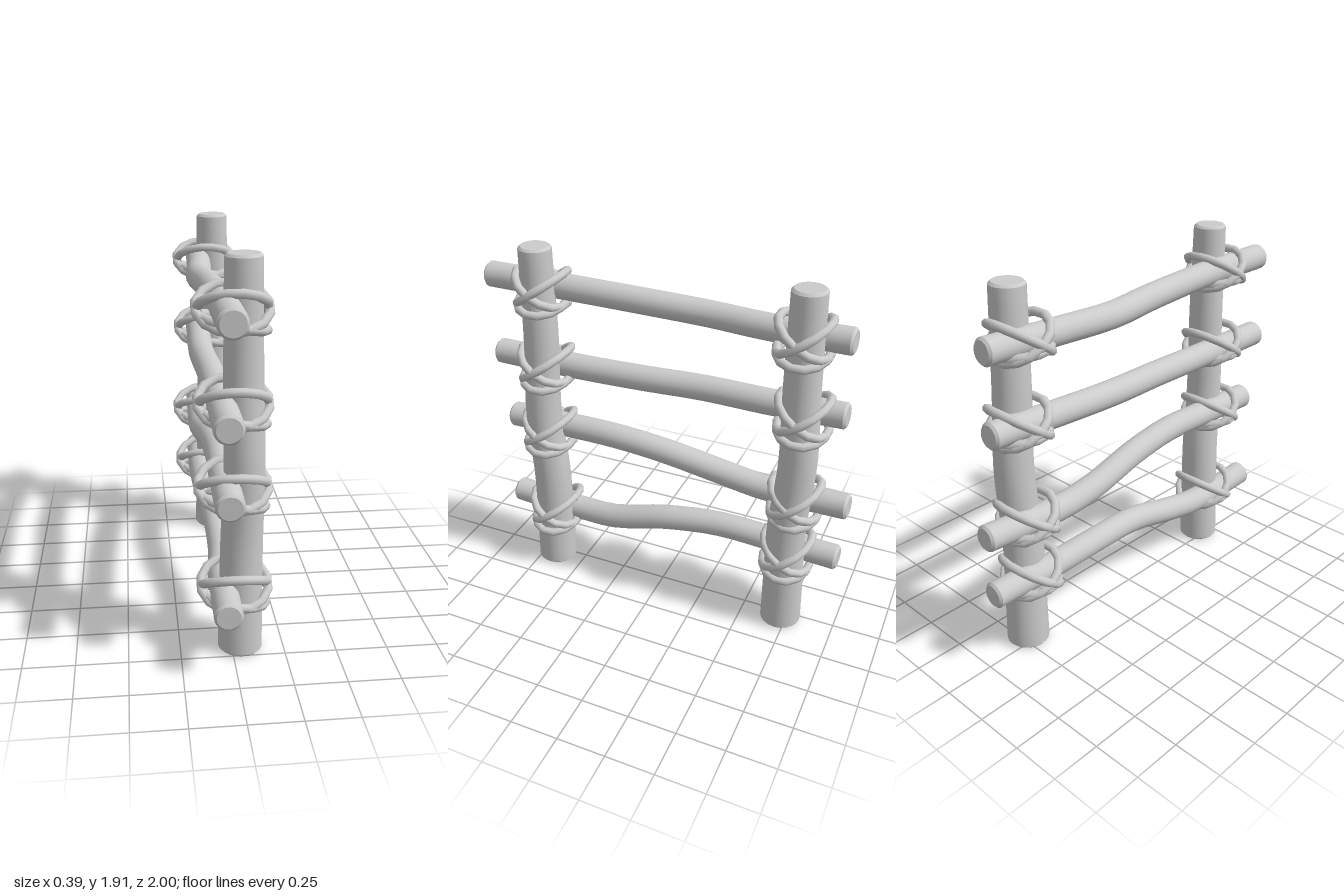
import * as THREE from 'three';
import { toCreasedNormals } from 'three/addons/utils/BufferGeometryUtils.js';

const material = new THREE.MeshStandardMaterial({ color: 0xcccccc });

// Round timber: a lathed pole with softened ends, bent along a curve
function pole(name, points, r0, r1) {
  const curve = new THREE.CatmullRomCurve3(points.map(p => new THREE.Vector3(...p)));
  const length = curve.getLength(), bevel = 0.012, steps = 24;
  const profile = [new THREE.Vector2(0, 0), new THREE.Vector2(r0 - bevel, 0)];
  for (let i = 0; i <= steps; i++) {
    const t = THREE.MathUtils.lerp(bevel / length, 1 - bevel / length, i / steps);
    profile.push(new THREE.Vector2(THREE.MathUtils.lerp(r0, r1, t), t));
  }
  profile.push(new THREE.Vector2(r1 - bevel, 1), new THREE.Vector2(0, 1));
  const geometry = new THREE.LatheGeometry(profile, 20);
  const pos = geometry.attributes.position;
  const u = new THREE.Vector3(), w = new THREE.Vector3();
  for (let i = 0; i < pos.count; i++) {
    const t = THREE.MathUtils.clamp(pos.getY(i), 0, 1);
    const tangent = curve.getTangentAt(t);
    u.set(1, 0, 0).addScaledVector(tangent, -tangent.x).normalize();
    w.crossVectors(u, tangent);
    const p = curve.getPointAt(t).addScaledVector(u, pos.getX(i)).addScaledVector(w, pos.getZ(i));
    pos.setXYZ(i, p.x, p.y, p.z);
  }
  const mesh = new THREE.Mesh(toCreasedNormals(geometry, 0.6), material);
  mesh.name = name;
  return mesh;
}

// One turn of rope: an oval ring whose height slopes along x and z
function ropeTurn(name, rx, rz, height, slopeX, slopeZ, phase) {
  const points = [];
  for (let i = 0; i < 12; i++) {
    const a = (i + phase) / 12 * Math.PI * 2;
    const c = Math.cos(a), s = Math.sin(a);
    points.push(new THREE.Vector3(rx * c, height + slopeX * c + slopeZ * s, rz * s));
  }
  const curve = new THREE.CatmullRomCurve3(points, true);
  const mesh = new THREE.Mesh(new THREE.TubeGeometry(curve, 14, 0.022, 8, true), material);
  mesh.name = name;
  return mesh;
}

// Lashing: two crossed turns and a lower binding turn
function lashing(name, x, y, z) {
  const group = new THREE.Group();
  group.name = name;
  group.add(
    ropeTurn('crossTurnA', 0.157, 0.125, 0.005, 0, 0.083, 0),
    ropeTurn('crossTurnB', 0.163, 0.122, 0.005, 0, -0.083, 0.5),
    ropeTurn('lowerTurn', 0.152, 0.125, -0.062, -0.034, 0.006, 0.25)
  );
  group.position.set(x, y, z);
  return group;
}

export function createModel() {
  const model = new THREE.Group();
  model.name = 'lashedFence';

  // Uprights
  model.add(
    pole('frontPost', [[0.04, 0, 0.665], [0.042, 0.3, 0.66], [0.046, 0.6, 0.658], [0.052, 0.95, 0.68],
      [0.046, 1.4, 0.665], [0.042, 1.91, 0.665]], 0.108, 0.084),
    pole('rearPost', [[0.04, 0, -0.715], [0.042, 0.3, -0.712], [0.045, 0.6, -0.708], [0.045, 1, -0.735],
      [0.04, 1.4, -0.722], [0.035, 1.91, -0.715]], 0.108, 0.084)
  );

  // Rails from front to rear, with the lashing heights at each post
  const rails = [
    { name: 'topRail', ties: [1.675, 1.655], path: [[-0.04, 1.685, 1], [-0.042, 1.68, 0.5], [-0.06, 1.667, 0.1],
      [-0.08, 1.652, -0.2], [-0.055, 1.65, -0.5], [-0.035, 1.66, -0.93]] },
    { name: 'upperRail', ties: [1.25, 1.255], path: [[-0.052, 1.24, 0.99], [-0.05, 1.237, 0.5], [-0.055, 1.243, 0.15],
      [-0.07, 1.25, -0.2], [-0.055, 1.256, -0.55], [-0.045, 1.27, -0.935]] },
    { name: 'lowerRail', ties: [0.855, 0.76], path: [[-0.038, 0.86, 0.93], [-0.035, 0.868, 0.55], [-0.03, 0.87, 0.28],
      [-0.04, 0.84, 0], [-0.06, 0.775, -0.33], [-0.055, 0.748, -0.55], [-0.035, 0.765, -0.995]] },
    { name: 'bottomRail', ties: [0.34, 0.43], path: [[-0.045, 0.335, 0.95], [-0.035, 0.318, 0.5], [-0.015, 0.34, 0.3],
      [-0.025, 0.415, 0], [-0.05, 0.443, -0.3], [-0.05, 0.437, -0.6], [-0.035, 0.435, -0.975]] }
  ];
  const tieX = [[-0.005, 0, 0, 0.012], [-0.008, -0.005, -0.016, -0.005]];
  rails.forEach((rail, i) => {
    model.add(pole(rail.name, rail.path, 0.068, 0.066));
    model.add(lashing(rail.name + 'FrontLashing', tieX[0][i], rail.ties[0], [0.665, 0.668, 0.676, 0.66][i]));
    model.add(lashing(rail.name + 'RearLashing', tieX[1][i], rail.ties[1], [-0.7, -0.73, -0.725, -0.71][i]));
  });
  return model;
}
